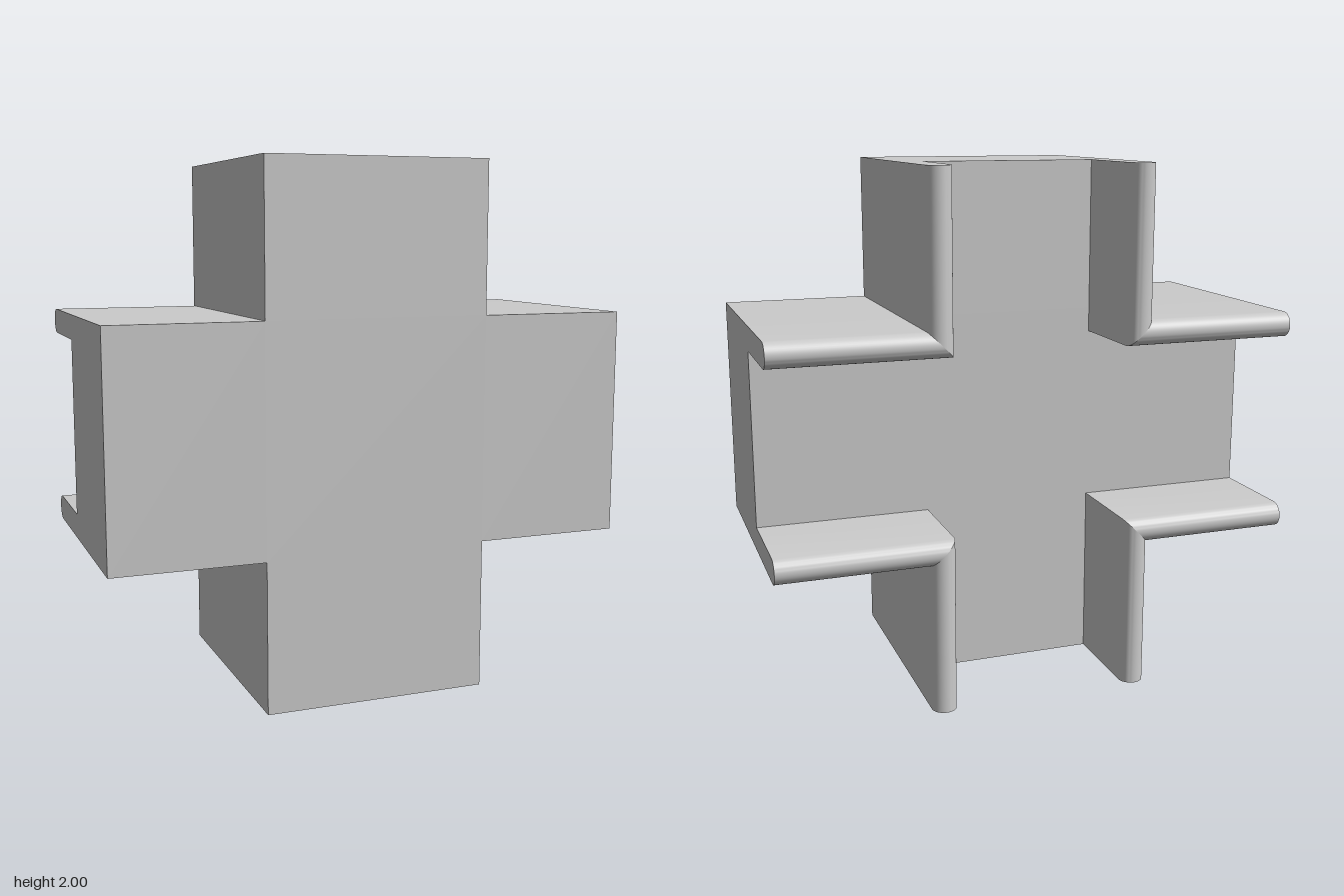
import * as THREE from 'three';
import { mergeGeometries, toCreasedNormals } from 'three/addons/utils/BufferGeometryUtils.js';

const ARM = 0.43;          // half width of the cross arms
const HALF = 0.0475;       // half thickness of the walls
const MID = ARM - HALF;    // wall centre line
const FLOOR = -0.1, BACK = -0.5, FRONT = 0.5;

// Wall profile: [offset across the wall, z], with a fully rounded back edge
const profile = [[HALF, FLOOR]];
for (let i = 0; i <= 20; i++) {
  const a = (i / 20) * Math.PI;
  profile.push([HALF * Math.cos(a), BACK + HALF - HALF * Math.sin(a)]);
}
profile.push([-HALF, FLOOR]);

// One straight run of wall between two sections
function wallRun(from, to, capFrom, capTo) {
  const a = profile.map(from), b = profile.map(to), pos = [];
  const tri = (...pts) => pts.forEach((p) => pos.push(...p));
  for (let i = 0; i < profile.length - 1; i++) {
    tri(a[i], a[i + 1], b[i + 1]);
    tri(a[i], b[i + 1], b[i]);
    if (i > 0 && capFrom) tri(a[0], a[i + 1], a[i]);
    if (i > 0 && capTo) tri(b[0], b[i], b[i + 1]);
  }
  const geo = new THREE.BufferGeometry();
  geo.setAttribute('position', new THREE.Float32BufferAttribute(pos, 3));
  return toCreasedNormals(geo, 0.5);
}

export function createModel() {
  const model = new THREE.Group();
  const material = new THREE.MeshStandardMaterial({ color: 0xcccccc });

  // Solid cross-shaped body
  const cross = new THREE.Shape([
    [ARM, -1], [ARM, -ARM], [1, -ARM], [1, ARM], [ARM, ARM], [ARM, 1],
    [-ARM, 1], [-ARM, ARM], [-1, ARM], [-1, -ARM], [-ARM, -ARM], [-ARM, -1],
  ].map(([x, y]) => new THREE.Vector2(x, y)));
  const bodyGeo = new THREE.ExtrudeGeometry(cross, { depth: FRONT - FLOOR, bevelEnabled: false });
  bodyGeo.translate(0, 0, FLOOR);
  const body = new THREE.Mesh(bodyGeo, material);
  body.name = 'crossBody';
  body.position.y = 1;
  model.add(body);

  // L-shaped corner wall with a mitred bend, repeated in each quadrant
  const sideEnd = ([u, z]) => [1, MID + u, z];
  const mitre = ([u, z]) => [MID + u, MID + u, z];
  const topEnd = ([u, z]) => [MID + u, 1, z];
  const wallGeo = mergeGeometries([
    wallRun(sideEnd, mitre, true, false),
    wallRun(mitre, topEnd, false, true),
  ]);
  ['upperLeft', 'upperRight', 'lowerRight', 'lowerLeft'].forEach((name, i) => {
    const wall = new THREE.Mesh(wallGeo, material);
    wall.name = name + 'CornerWall';
    wall.position.y = 1;
    wall.rotation.z = (i * Math.PI) / 2;
    model.add(wall);
  });

  return model;
}
